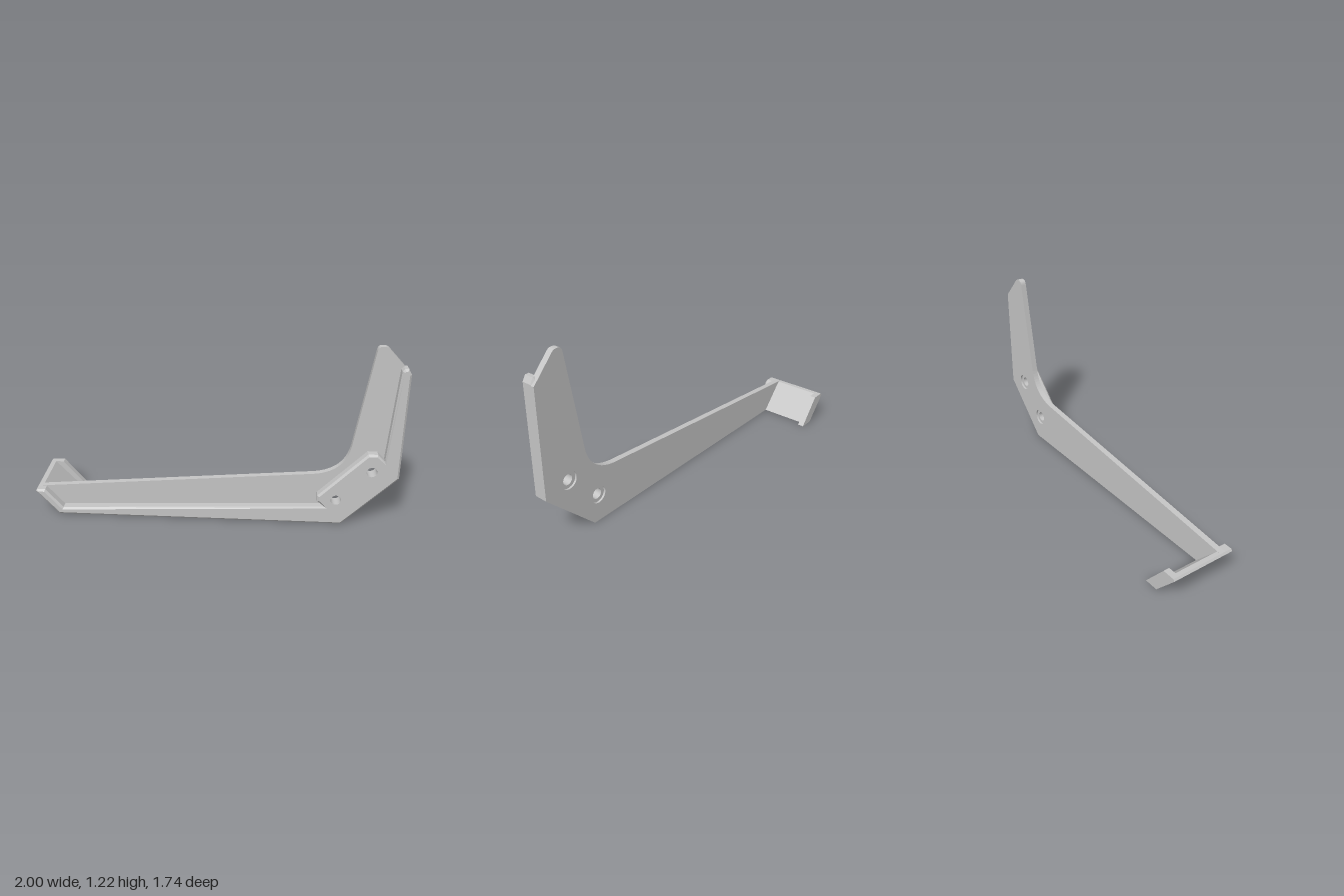
import * as THREE from 'three';

// Local frame: x runs along the arm, y is up, z is the thickness direction.
const HOLES = [[1.104, 0.394], [0.891, 0.182]];
const HOLE_R = 0.034;
const BACK = 0.047, PLATE_FRONT = 0.086, FRONT = 0.146;

function shapeOf(points, holeRadius) {
  const shape = new THREE.Shape(points.map(([x, y]) => new THREE.Vector2(x, y)));
  if (holeRadius) addHoles(shape, holeRadius);
  return shape;
}

function addHoles(shape, radius) {
  for (const [x, y] of HOLES) {
    shape.holes.push(new THREE.Path().absarc(x, y, radius, 0, Math.PI * 2, true));
  }
}

// Extrude between two depths, with an optional inward chamfer
function slab(shape, z0, z1, chamfer = 0) {
  const geo = new THREE.ExtrudeGeometry(shape, {
    depth: z1 - z0 - 2 * chamfer, curveSegments: 16,
    bevelEnabled: chamfer > 0, bevelSegments: 1,
    bevelSize: chamfer, bevelThickness: chamfer, bevelOffset: -chamfer,
  });
  return geo.translate(0, 0, z0 + chamfer);
}

export function createModel() {
  const model = new THREE.Group();
  model.name = 'bracket';
  const body = new THREE.Group();
  body.name = 'bracketBody';
  body.rotation.y = Math.PI / 4;
  model.add(body);

  const grey = new THREE.MeshStandardMaterial({ color: 0xc4c4c4 });
  grey.name = 'lightGrey';
  const add = (name, geo) => {
    const mesh = new THREE.Mesh(geo, grey);
    mesh.name = name;
    body.add(mesh);
  };

  // Thin L-shaped back plate with a filleted inner corner and counterbores
  const plate = new THREE.Shape();
  plate.moveTo(-0.95, 0);
  plate.lineTo(0.935, 0);
  plate.lineTo(1.28, 0.347);
  plate.lineTo(1.28, 1.055);
  plate.lineTo(1.145, 1.2);
  plate.quadraticCurveTo(1.13, 1.215, 1.115, 1.215);
  plate.lineTo(1.1, 1.215);
  plate.quadraticCurveTo(1.075, 1.215, 1.07, 1.18);
  plate.lineTo(0.97, 0.54);
  plate.quadraticCurveTo(0.938, 0.357, 0.735, 0.338);
  plate.lineTo(-1.09, 0.18);
  plate.lineTo(-1.10, 0.167);
  addHoles(plate, 0.057);
  add('backPlate', slab(plate, BACK, PLATE_FRONT));

  // Raised border and corner gusset with the screw holes
  const raised = slab(shapeOf([
    [-0.95, 0], [0.935, 0], [1.28, 0.347], [1.28, 1.06], [1.26, 1.095], [1.235, 1.095],
    [1.222, 1.08], [1.18, 0.468], [1.133, 0.515], [1.072, 0.515], [0.77, 0.205],
    [0.77, 0.165], [0.82, 0.123], [-0.92, 0.048], [-1.035, 0.18], [-1.09, 0.18], [-1.10, 0.167],
  ], HOLE_R), 0.06, FRONT, 0.013);
  // Keep the screw holes straight through the chamfer
  const pos = raised.attributes.position;
  for (let i = 0; i < pos.count; i++) {
    for (const [hx, hy] of HOLES) {
      const dx = pos.getX(i) - hx, dy = pos.getY(i) - hy, d = Math.hypot(dx, dy);
      if (d < 0.055) pos.setXY(i, hx + dx / d * HOLE_R, hy + dy / d * HOLE_R);
    }
  }
  raised.computeVertexNormals();
  add('raisedBorder', raised);

  // Slanted flange returning behind the arm's end, and its lip
  const slanted = (bottomWidth, topWidth) => shapeOf([
    [-0.95, 0], [-0.95 + bottomWidth, 0], [-1.10 + topWidth, 0.18], [-1.09, 0.18], [-1.10, 0.167],
  ]);
  add('endFlange', slab(slanted(0.055, 0.04), -0.314, 0.06));
  add('flangeLip', slab(slanted(0.095, 0.095), -0.314, -0.272));

  return model;
}
